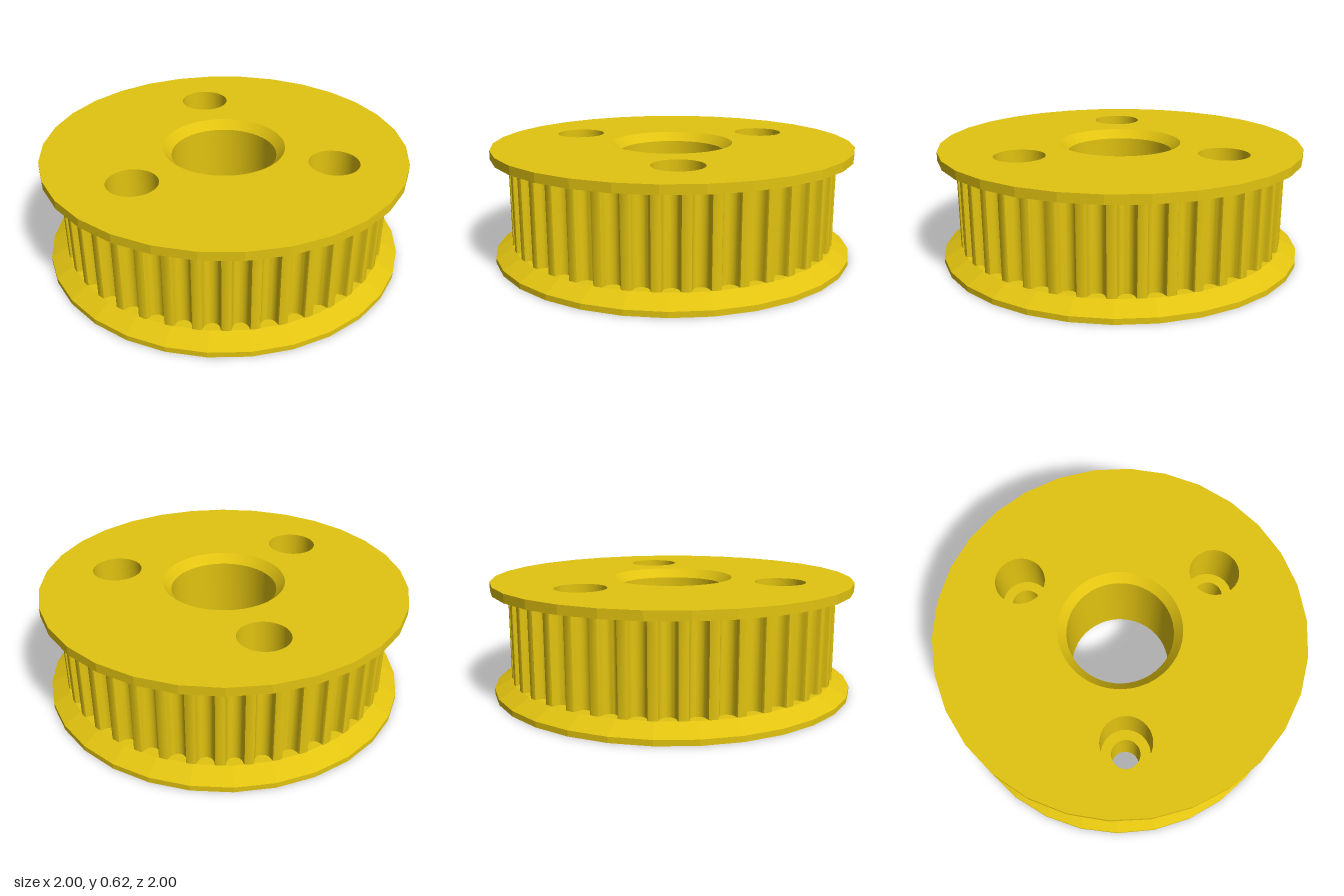
import * as THREE from 'three';
import { toCreasedNormals } from 'three/addons/utils/BufferGeometryUtils.js';

const TEETH = 40, RIM_SIDES = 30;
const HEIGHT = 0.618, FLOOR = 0.083, CEILING = 0.57;
const BODY_R = 0.905, BORE_R = 0.29, BORE_MOUTH_R = 0.336, CHAMFER = 0.048;
const BOLT_CIRCLE = 0.615, HEAD_R = 0.136, BOLT_R = 0.08, HEAD_DEPTH = 0.3;
const LOWER_TURN = Math.PI / 80; // slight turn between the two rims

// bolt centres as [x, z], the first one at the front
const bolts = [0, 1, 2].map((i) => {
  const a = (i * 2 * Math.PI) / 3;
  return [BOLT_CIRCLE * Math.sin(a), BOLT_CIRCLE * Math.cos(a)];
});

// revolve [radius, y] points; going up faces outward, going down faces inward
function revolve(points, sides, turn = 0, crease = 0.4) {
  const profile = points.map(([r, y]) => new THREE.Vector2(r, y));
  const geo = new THREE.LatheGeometry(profile, sides, Math.PI / 2 + turn);
  return toCreasedNormals(geo, crease);
}

// flat rim-sided disc with a bore and three bolt holes, facing up or down
function face(up, y, turn, boltRadius) {
  const flip = up ? -1 : 1;
  const outline = [];
  for (let i = 0; i < RIM_SIDES; i++) {
    const a = (i / RIM_SIDES) * 2 * Math.PI + turn;
    outline.push(new THREE.Vector2(Math.cos(a), -Math.sin(a) * flip));
  }
  const shape = new THREE.Shape(outline);
  const hole = (x, z, r) => shape.holes.push(new THREE.Path().absarc(x, z * flip, r, 0, Math.PI * 2));
  hole(0, 0, BORE_MOUTH_R);
  bolts.forEach(([x, z]) => hole(x, z, boltRadius));
  const geo = new THREE.ShapeGeometry(shape, 24);
  geo.rotateX((up ? -1 : 1) * Math.PI / 2);
  return geo.translate(0, y, 0);
}

// wall of rounded belt grooves, swept straight up
function toothWall() {
  // half groove: [sideways, depth] from the tooth edge to the groove bottom
  const half = [[0.0542, 0], [0.047, 0.0027], [0.0434, 0.0095], [0.0419, 0.0173], [0.0397, 0.0249],
    [0.0366, 0.0322], [0.0327, 0.0391], [0.026, 0.0462], [0.018, 0.0513], [0.0092, 0.0544], [0, 0.0554]];
  const groove = [...half.map(([s, d]) => [-s, d]), ...half.slice(0, -1).reverse()];
  const ring = [];
  for (let t = 0; t < TEETH; t++) {
    const a = (t / TEETH) * 2 * Math.PI;
    for (const [s, d] of groove) {
      const r = Math.sqrt(BODY_R ** 2 - 0.0542 ** 2) - d;
      ring.push([r * Math.sin(a) + s * Math.cos(a), r * Math.cos(a) - s * Math.sin(a)]);
    }
  }
  const pos = [], index = [], n = ring.length;
  ring.forEach(([x, z], i) => {
    pos.push(x, FLOOR, z, x, CEILING, z);
    const a = 2 * i, b = 2 * ((i + 1) % n);
    index.push(a, b, b + 1, a, b + 1, a + 1);
  });
  const geo = new THREE.BufferGeometry();
  geo.setAttribute('position', new THREE.Float32BufferAttribute(pos, 3));
  geo.setIndex(index);
  return toCreasedNormals(geo, 0.5);
}

export function createModel() {
  const model = new THREE.Group();
  model.name = 'beltPulley';
  const yellow = new THREE.MeshStandardMaterial({ color: 0xe2c310 });
  yellow.name = 'yellow';
  const add = (name, geo, x = 0, z = 0) => {
    const mesh = new THREE.Mesh(geo, yellow);
    mesh.name = name;
    mesh.position.set(x, 0, z);
    model.add(mesh);
  };

  // toothed drum
  add('toothedDrum', toothWall());

  // lower flange: short rim and cone rising to the drum
  add('lowerFlange', revolve([[1, 0], [1, 0.03], [BODY_R, FLOOR], [0.83, FLOOR]], RIM_SIDES, LOWER_TURN, 0.1));
  add('bottomFace', face(false, 0, LOWER_TURN, BOLT_R));

  // upper flange: plain disc
  add('upperFlange', revolve([[0.83, CEILING], [1, CEILING], [1, HEIGHT]], RIM_SIDES, 0, 0.1));
  add('topFace', face(true, HEIGHT, 0, HEAD_R));

  // centre bore, chamfered at both ends
  add('centreBore', revolve([[BORE_MOUTH_R, HEIGHT], [BORE_R, HEIGHT - CHAMFER],
    [BORE_R, CHAMFER], [BORE_MOUTH_R, 0]], 48));

  // bolt holes with a wide recess for the bolt head
  bolts.forEach(([x, z], i) => add(`boltHole${i + 1}`, revolve([[HEAD_R, HEIGHT], [HEAD_R, HEIGHT - HEAD_DEPTH],
    [BOLT_R, HEIGHT - HEAD_DEPTH], [BOLT_R, 0]], 48), x, z));

  return model;
}
